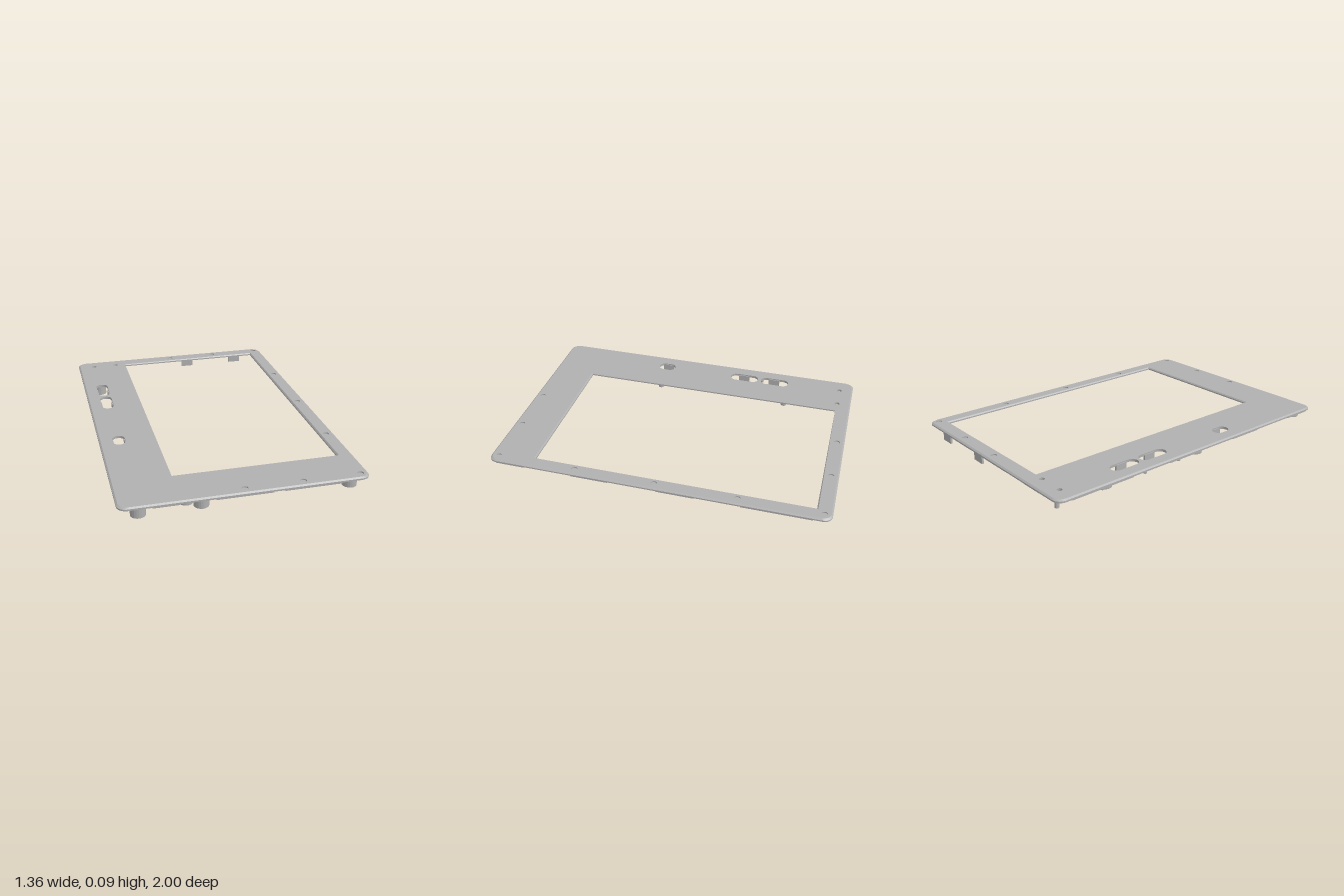
import * as THREE from 'three';

const grey = new THREE.MeshStandardMaterial({ color: 0xb0b0b0 });
grey.name = 'matte grey';

// half sizes of the cover, corner radius, and window edges
const HX = 0.68, HZ = 1, R = 0.05;
const WIN = { x0: -0.35, x1: 0.595, z0: -0.91, z1: 0.735 };
const TOP = 0.094, MID = 0.087, BOTTOM = 0.079;

// outlines are drawn with shape y standing for model z
function roundedRect(path, hx, hz, r) {
  path.moveTo(hx, hz - r);
  path.absarc(hx - r, hz - r, r, 0, Math.PI / 2);
  path.absarc(-hx + r, hz - r, r, Math.PI / 2, Math.PI);
  path.absarc(-hx + r, -hz + r, r, Math.PI, Math.PI * 1.5);
  path.absarc(hx - r, -hz + r, r, Math.PI * 1.5, Math.PI * 2);
  path.closePath();
  return path;
}

function circle(x, z, r) {
  const p = new THREE.Path();
  p.absarc(x, z, r, 0, Math.PI * 2);
  return p;
}

function slot(x, z0, z1, r) {
  const p = new THREE.Path();
  p.absarc(x, z1 - r, r, 0, Math.PI);
  p.absarc(x, z0 + r, r, Math.PI, Math.PI * 2);
  p.closePath();
  return p;
}

// extrude an outline downward from yTop to yBottom
function slab(shape, yTop, yBottom) {
  const g = new THREE.ExtrudeGeometry(shape, { depth: yTop - yBottom, bevelEnabled: false, curveSegments: 10 });
  g.rotateX(Math.PI / 2);
  g.translate(0, yTop, 0);
  return g;
}

function plateShape() {
  const s = roundedRect(new THREE.Shape(), HX, HZ, R);
  const w = new THREE.Path();
  w.moveTo(WIN.x0, WIN.z0);
  w.lineTo(WIN.x1, WIN.z0);
  w.lineTo(WIN.x1, WIN.z1);
  w.lineTo(WIN.x0, WIN.z1);
  w.closePath();
  s.holes.push(w);
  for (const x of [-0.575, -0.42]) s.holes.push(circle(x, -0.915, 0.015));
  for (const [a, b] of [[-0.575, -0.39], [-0.37, -0.185], [0.21, 0.32]]) s.holes.push(slot(-0.565, a, b, 0.037));
  return s;
}

// chamfer the outer edge and the window edge of the top layer
function chamferTop(g) {
  const p = g.attributes.position, c = 0.009, near = (a, b) => Math.abs(a - b) < 1e-4;
  for (let i = 0; i < p.count; i++) {
    if (p.getY(i) < TOP - 1e-4) continue;
    const x = p.getX(i), z = p.getZ(i);
    const d = Math.hypot(Math.max(Math.abs(x) - HX + R, 0), Math.max(Math.abs(z) - HZ + R, 0));
    if (d > R - 0.004) {
      p.setX(i, x * (1 - c / HX));
      p.setZ(i, z * (1 - c / HZ));
    } else if ((near(x, WIN.x0) || near(x, WIN.x1)) && (near(z, WIN.z0) || near(z, WIN.z1))) {
      p.setX(i, x + (near(x, WIN.x0) ? -0.007 : 0.007));
      p.setZ(i, z + (near(z, WIN.z0) ? -0.007 : 0.007));
    }
  }
  g.computeVertexNormals();
  return g;
}

export function createModel() {
  const model = new THREE.Group();
  model.name = 'coverFrame';

  const add = (name, geometry, x = 0, y = 0, z = 0) => {
    const m = new THREE.Mesh(geometry, grey);
    m.name = name;
    m.position.set(x, y, z);
    model.add(m);
    return m;
  };
  // box given by its limits on each axis
  const box = (name, x0, x1, y0, y1, z0, z1) =>
    add(name, new THREE.BoxGeometry(x1 - x0, y1 - y0, z1 - z0), (x0 + x1) / 2, (y0 + y1) / 2, (z0 + z1) / 2);
  const pin = (name, x, z, r, y0) => {
    const h = BOTTOM + 0.002 - y0;
    return add(name, new THREE.CylinderGeometry(r, r, h, 20), x, y0 + h / 2, z);
  };

  // cover plate: solid lower layer, chamfered top layer with shallow dimples
  add('plateBase', slab(plateShape(), MID, BOTTOM));
  const top = plateShape();
  const dimples = [];
  for (const z of [-0.955, -0.478, 0, 0.478, 0.955]) dimples.push([0.634, z]);
  for (const z of [-0.955, 0.955]) for (const x of [0.31, -0.01]) dimples.push([x, z]);
  for (const [x, z] of dimples) top.holes.push(circle(x, z, 0.018));
  add('plateTop', chamferTop(slab(top, TOP, MID)));

  // rim under the outer edge
  const rim = roundedRect(new THREE.Shape(), HX - 0.004, HZ - 0.004, R);
  rim.holes.push(roundedRect(new THREE.Path(), HX - 0.018, HZ - 0.018, R - 0.014));
  add('rim', slab(rim, BOTTOM + 0.001, 0.075));

  // locating lips just inside the rim
  for (const [a, b] of [[-0.9, -0.5], [-0.24, -0.02], [0.27, 0.49], [0.785, 0.96]]) {
    box('leftLip', 0.65, 0.665, 0.061, BOTTOM, a, b);
    box('rightLip', -0.665, -0.65, 0.064, BOTTOM, a, b);
  }
  for (const [a, b] of [[-0.5, -0.36], [-0.17, 0.14], [0.2, 0.52]]) {
    box('frontLip', a, b, 0.064, BOTTOM, 0.972, 0.986);
    box('backLip', a, b, 0.064, BOTTOM, -0.986, -0.972);
  }

  // hollow screw bosses
  for (const [x, z, y0] of [[-0.57, 0.945, 0.016], [-0.24, 0.945, 0.023], [0.577, 0.945, 0.03], [-0.57, 0.05, 0.016], [-0.57, -0.625, 0.016]]) {
    const s = new THREE.Shape();
    s.absarc(0, 0, 0.041, 0, Math.PI * 2);
    s.holes.push(circle(0, 0, 0.024));
    add('screwBoss', slab(s, BOTTOM + 0.002, y0), x, 0, z);
  }
  pin('shortBoss', -0.32, 0.94, 0.038, 0.05);

  // stepped locating pins
  for (const z of [0.28, -0.568]) {
    pin('pinCollar', -0.458, z, 0.034, 0.05);
    pin('locatingPin', -0.458, z, 0.018, 0);
  }

  // small pins between the slots
  for (const z of [-0.14, -0.39, -0.685]) pin('smallPin', -0.63, z, 0.011, 0.04);
  pin('cornerPin', -0.62, -0.965, 0.012, 0.03);

  // clip arms on both sides of each slot
  for (const z of [-0.475, -0.27, 0.265]) {
    for (const x of [-0.603, -0.527]) box('clipArm', x - 0.006, x + 0.006, 0.045, MID, z - 0.036, z + 0.036);
  }

  // hanging tabs along the back edge
  for (const x of [0.123, 0.488]) box('backTab', x - 0.042, x + 0.042, 0.016, BOTTOM, -0.982, -0.97);

  // stiffening ribs under the wide side of the cover
  box('longRib', -0.405, -0.395, 0.07, BOTTOM, -0.85, 0.4);
  for (const z of [0.42, 0.66]) box('crossRib', -0.62, -0.4, 0.07, BOTTOM, z - 0.005, z + 0.005);

  return model;
}
